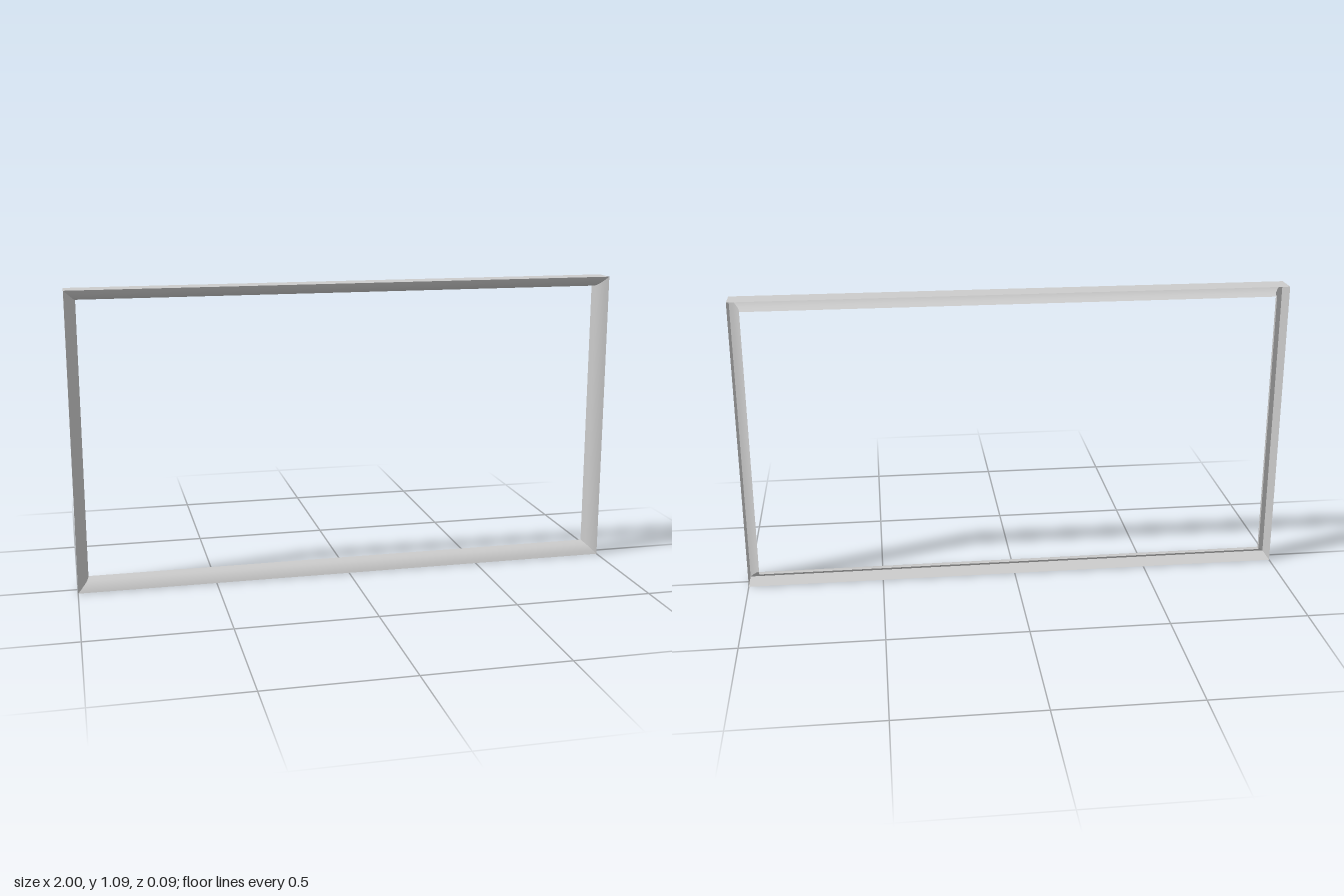
import * as THREE from 'three';

const W = 2, H = 1.09, D = 0.086;

// Profiles as [inset from the outer edge, z]
const wallProfile = [[0, -D / 2], [0, D / 2]];
const mouldingProfile = [
  [0, 0], [0.013, 0.008], [0.025, 0.02], [0.033, 0.033], [0.038, 0.05], [0.04, 0.068],
].map(([inset, depth]) => [inset, D / 2 - depth]);

// Rectangle corners, counterclockwise from the front: [x sign, y sign]
const corners = [[-1, -1], [1, -1], [1, 1], [-1, 1]];
const railNames = ['bottom', 'left', 'top', 'right'];

// One mitred strip: the profile stretched between two neighbouring corners
function railStrip(profile, a, b) {
  const positions = [], indices = [];
  for (const [inset, z] of profile) {
    for (const [sx, sy] of [a, b]) {
      positions.push(sx * (W / 2 - inset), H / 2 + sy * (H / 2 - inset), z);
    }
  }
  for (let i = 0; i < profile.length - 1; i++) {
    const p = i * 2;
    indices.push(p, p + 1, p + 3, p, p + 3, p + 2);
  }
  const geometry = new THREE.BufferGeometry();
  geometry.setAttribute('position', new THREE.Float32BufferAttribute(positions, 3));
  geometry.setIndex(indices);
  geometry.computeVertexNormals();
  return geometry;
}

export function createModel() {
  const model = new THREE.Group();
  model.name = 'pictureFrame';
  const material = new THREE.MeshStandardMaterial({ color: 0xcccccc, side: THREE.DoubleSide });

  // Four rails, each a thin outer wall and a rounded front moulding, open at the back
  railNames.forEach((name, i) => {
    const a = corners[i], b = corners[(i + 1) % 4];
    const rail = new THREE.Group();
    rail.name = name + 'Rail';
    const wall = new THREE.Mesh(railStrip(wallProfile, a, b), material);
    wall.name = name + 'OuterWall';
    const moulding = new THREE.Mesh(railStrip(mouldingProfile, a, b), material);
    moulding.name = name + 'Moulding';
    rail.add(wall, moulding);
    model.add(rail);
  });
  return model;
}
